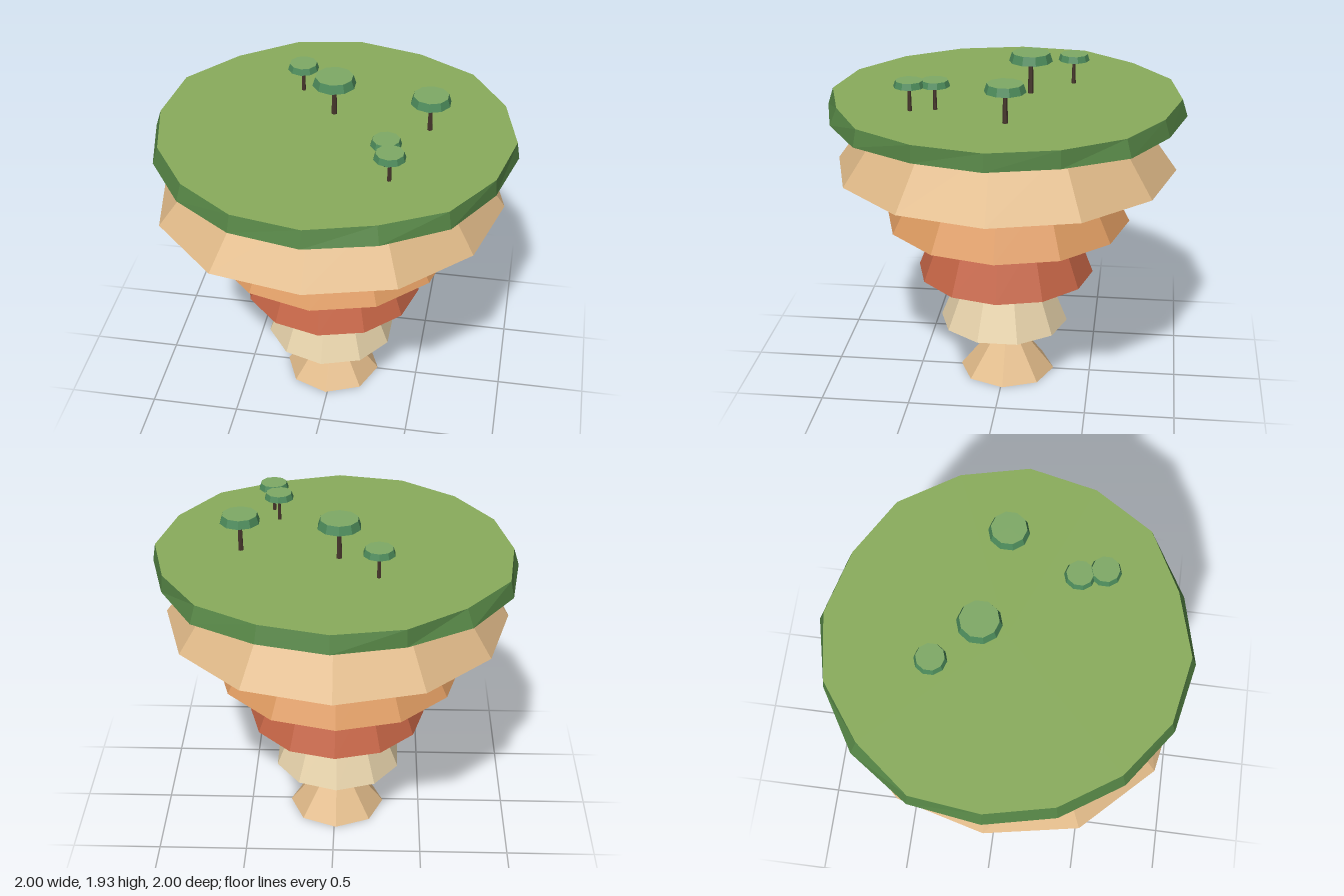
import * as THREE from 'three';

const mat = (color, side = THREE.FrontSide) =>
  new THREE.MeshStandardMaterial({ color, flatShading: true, side });

// Sets the radius of each corner; the lists run from +z towards +x.
function setRadii(geo, n, top, bottom) {
  const p = geo.attributes.position;
  for (let i = 0; i < p.count; i++) {
    const x = p.getX(i), z = p.getZ(i);
    if (Math.hypot(x, z) < 1e-4) continue;
    const k = (Math.round(Math.atan2(x, z) / (2 * Math.PI) * n) + n) % n;
    const list = p.getY(i) > 0 ? top : bottom;
    const a = k / n * 2 * Math.PI;
    p.setX(i, Math.sin(a) * list[k]);
    p.setZ(i, Math.cos(a) * list[k]);
  }
  geo.computeVertexNormals();
  return geo;
}

export function createModel() {
  const model = new THREE.Group();
  model.name = 'layeredFloatingIsland';

  function add(parent, name, geo, material, x, y, z) {
    const mesh = new THREE.Mesh(geo, material);
    mesh.name = name;
    mesh.position.set(x, y, z);
    parent.add(mesh);
    return mesh;
  }

  // Rock layers: open, flared skirts stacked from the tip upwards
  const layers = [
    { n: 8, top: 0.022, bottom: 0.275, x: -0.01, z: -0.01, color: 0xdeb887 },
    { n: 10, top: 0.24, bottom: 0.37, x: -0.015, z: 0.01, color: 0xe6d2aa },
    { n: 12, top: 0.38, bottom: 0.505, x: -0.01, z: 0, color: 0xc56546 },
    { n: 12, top: 0.525, bottom: 0.695, x: -0.02, z: -0.01, color: 0xdb9960 },
    { n: 12, top: 0.725, bottom: 0.955, x: -0.01, z: 0, color: 0xdeb887 },
  ];
  layers.forEach((l, i) => {
    const geo = new THREE.CylinderGeometry(l.top, l.bottom, 0.32, l.n, 1, true);
    if (i === 4) { // two corners of the widest layer stick out further
      const bottom = Array(l.n).fill(l.bottom);
      bottom[10] = bottom[11] = 0.995;
      setRadii(geo, l.n, Array(l.n).fill(l.top), bottom);
    }
    add(model, 'rockLayer' + (i + 1), geo, mat(l.color, THREE.DoubleSide), l.x, 0.16 + i * 0.321, l.z);
  });

  // Grass slab with a slightly uneven rim
  const slab = setRadii(new THREE.CylinderGeometry(1, 1, 0.095, 16), 16,
    [0.97, 0.94, 0.98, 0.975, 0.985, 0.97, 0.975, 0.95, 0.97, 0.98, 0.965, 1, 0.97, 0.96, 0.96, 0.975],
    [1, 0.98, 1, 0.98, 1, 0.98, 1.01, 0.98, 1, 0.99, 1.01, 1.02, 1, 0.99, 0.99, 1]);
  const grassSide = mat(0x558445);
  add(model, 'grassSlab', slab, [grassSide, mat(0x8aad5c), grassSide], 0, 1.65, 0);

  // Trees: thin trunk and flat canopy
  const bark = mat(0x46362c), leaves = mat(0x4c8a5a), leafTop = mat(0x7faa66);
  const trees = [
    // x, z, canopy radius, top height
    [-0.237, -0.36, 0.087, 1.868],
    [-0.025, -0.137, 0.12, 1.928],
    [0.51, -0.055, 0.11, 1.91],
    [0.325, 0.34, 0.083, 1.862],
    [0.362, 0.47, 0.085, 1.866],
  ];
  trees.forEach(([x, z, r, top], i) => {
    const tree = new THREE.Group();
    tree.name = 'tree' + (i + 1);
    tree.position.set(x, 0, z);
    model.add(tree);
    const thick = r * 0.4, base = 1.69, trunkH = top - thick / 2 - base;
    add(tree, 'trunk', new THREE.CylinderGeometry(r * 0.09, r * 0.14, trunkH, 6), bark, 0, base + trunkH / 2, 0);
    add(tree, 'canopy', new THREE.CylinderGeometry(r * 0.87, r, thick, 10),
      [leaves, leafTop, leaves], 0, top - thick / 2, 0);
  });

  return model;
}
